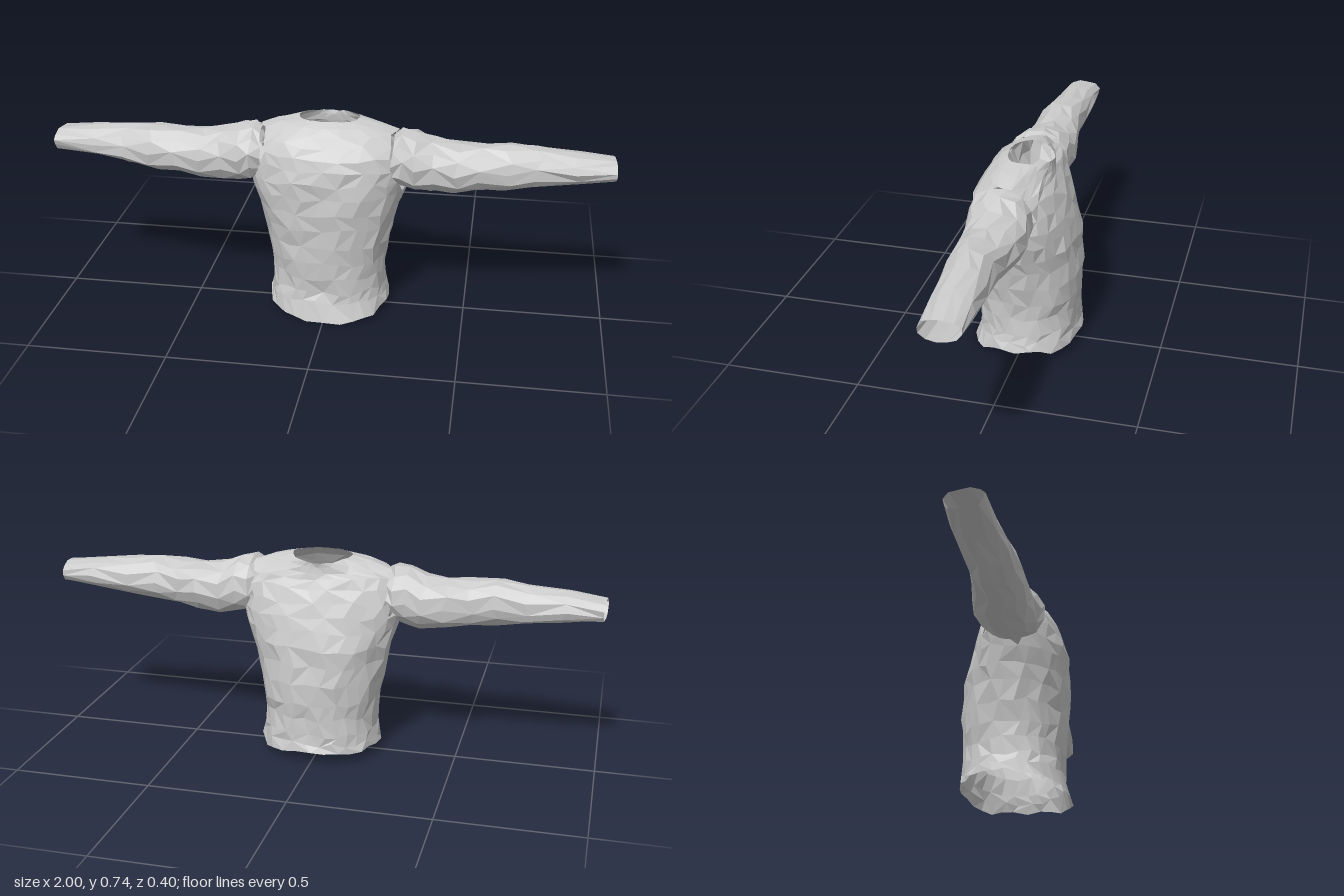
import * as THREE from 'three';

// Small seeded noise in the range -1..1
function makeNoise(seed) {
  let s = seed;
  return () => {
    s = (s * 16807) % 2147483647;
    return (s / 2147483647) * 2 - 1;
  };
}

// Skin closed rings of points into a faceted open tube; skip(centre) leaves a hole
function loft(rings, flip, skip = () => false) {
  const n = rings[0].length;
  const pos = [];
  const tri = (a, b, c) => {
    const centre = a.clone().add(b).add(c).divideScalar(3);
    if (skip(centre)) return;
    for (const p of flip ? [a, c, b] : [a, b, c]) pos.push(p.x, p.y, p.z);
  };
  for (let i = 0; i < rings.length - 1; i++) {
    for (let j = 0; j < n; j++) {
      const k = (j + 1) % n;
      const a = rings[i][j], b = rings[i][k], c = rings[i + 1][k], d = rings[i + 1][j];
      if ((i + j) % 2) { tri(a, c, b); tri(a, d, c); }
      else { tri(a, d, b); tri(b, d, c); }
    }
  }
  const g = new THREE.BufferGeometry();
  g.setAttribute('position', new THREE.Float32BufferAttribute(pos, 3));
  g.computeVertexNormals();
  return g;
}

// Rounded-off square curve
const power = (v, e) => Math.sign(v) * Math.pow(Math.abs(v), e);

// Torso: height, half width, depth towards -z, depth towards +z
const TORSO = [
  [0.00, 0.220, 0.198, 0.194],
  [0.05, 0.214, 0.192, 0.176],
  [0.11, 0.208, 0.190, 0.170],
  [0.17, 0.206, 0.192, 0.173],
  [0.23, 0.212, 0.195, 0.180],
  [0.30, 0.225, 0.196, 0.184],
  [0.37, 0.240, 0.190, 0.188],
  [0.43, 0.256, 0.183, 0.193],
  [0.49, 0.276, 0.170, 0.195],
  [0.54, 0.290, 0.154, 0.194],
  [0.59, 0.295, 0.135, 0.188],
  [0.635, 0.290, 0.112, 0.173],
  [0.67, 0.275, 0.094, 0.152],
  [0.70, 0.245, 0.090, 0.128],
  [0.722, 0.185, 0.089, 0.102],
  [0.738, 0.108, 0.090, 0.072],
];

function torsoRings() {
  const noise = makeNoise(4711);
  const sides = 28;
  return TORSO.map(([y0, w, back, front], i) => {
    const ring = [];
    const neck = y0 > 0.69;
    const rim = i === TORSO.length - 1;
    for (let j = 0; j < sides; j++) {
      const a = ((j + (i % 2 && !neck ? 0.4 : 0)) / sides) * Math.PI * 2;
      const s = Math.sin(a), c = Math.cos(a);
      let x = w * power(c, neck ? 1 : s < 0 ? 0.93 : 0.85);
      let z = (s > 0 ? front : back) * power(s, rim ? 0.8 : neck ? 1 : 0.9);
      let y = y0;
      // Hem: lowest in the middle of the +z side, ragged all round
      if (i === 0) y = 0.046 - 0.04 * Math.max(0, s) + 0.01 * Math.min(0, s) + 0.013 * noise();
      if (i === 1) y += 0.025;
      // Spine groove on +z, chest and stomach relief on -z
      const middle = Math.exp(-(x * x) / 0.0012);
      if (s > 0.3 && y0 > 0.1 && y0 < 0.6) z -= 0.008 * middle;
      if (s < -0.3 && y0 > 0.1 && y0 < 0.55) z += 0.007 * middle + 0.004 * Math.sin(y0 * 52);
      // Collar stands up steeply on the -z side and is narrower and lower there
      if (neck) x *= 1 + (rim ? 0.25 : 0.4) * Math.min(0, s);
      if (neck) y += 0.014 * Math.min(0, s);
      const amount = neck ? 0.002 : 0.005;
      x += amount * noise();
      z += amount * noise();
      if (i > 0) y += (neck ? 0.002 : 0.010) * noise();
      ring.push(new THREE.Vector3(x, Math.max(0, y), z));
    }
    return ring;
  });
}

// Sleeve: distance from the middle, bottom, top, z range
const SLEEVE = [
  [0.235, 0.525, 0.695, -0.066, 0.135],
  [0.265, 0.506, 0.710, -0.078, 0.148],
  [0.31, 0.494, 0.702, -0.084, 0.138],
  [0.37, 0.488, 0.682, -0.086, 0.126],
  [0.45, 0.494, 0.668, -0.080, 0.126],
  [0.54, 0.506, 0.672, -0.062, 0.120],
  [0.63, 0.514, 0.677, -0.055, 0.115],
  [0.73, 0.528, 0.668, -0.056, 0.102],
  [0.86, 0.550, 0.656, -0.060, 0.092],
  [1.00, 0.566, 0.642, -0.055, 0.079],
];

function sleeveRings(side) {
  const noise = makeNoise(side > 0 ? 991 : 3373);
  const sides = 12;
  return SLEEVE.map(([x0, lo, hi, z0, z1], i) => {
    const ring = [];
    const end = i === SLEEVE.length - 1;
    const wobble = i < 3 ? 0.006 : 0.016;
    for (let j = 0; j < sides; j++) {
      const a = ((j + (i % 2) * 0.4) / sides) * Math.PI * 2;
      ring.push(new THREE.Vector3(
        side * (x0 + (end ? -0.006 * (1 - Math.cos(a)) : wobble * noise())),
        (lo + hi) / 2 + ((hi - lo) / 2) * power(Math.sin(a), 0.95) + 0.004 * noise(),
        (z0 + z1) / 2 + ((z1 - z0) / 2) * power(Math.cos(a), 0.95) + 0.004 * noise()
      ));
    }
    return ring;
  });
}

export function createModel() {
  const group = new THREE.Group();
  const cloth = new THREE.MeshStandardMaterial({
    color: 0xcccccc, flatShading: true, side: THREE.DoubleSide,
  });
  const add = (name, geometry) => {
    const mesh = new THREE.Mesh(geometry, cloth);
    mesh.name = name;
    group.add(mesh);
  };

  // Body with open hem, neck and armholes
  const inArmhole = (p) =>
    Math.abs(p.x) > 0.2 && ((p.y - 0.605) / 0.09) ** 2 + ((p.z - 0.03) / 0.1) ** 2 < 1;
  add('torso', loft(torsoRings(), false, inArmhole));

  // Sleeves with open cuffs
  add('leftSleeve', loft(sleeveRings(1), false));
  add('rightSleeve', loft(sleeveRings(-1), true));
  return group;
}
